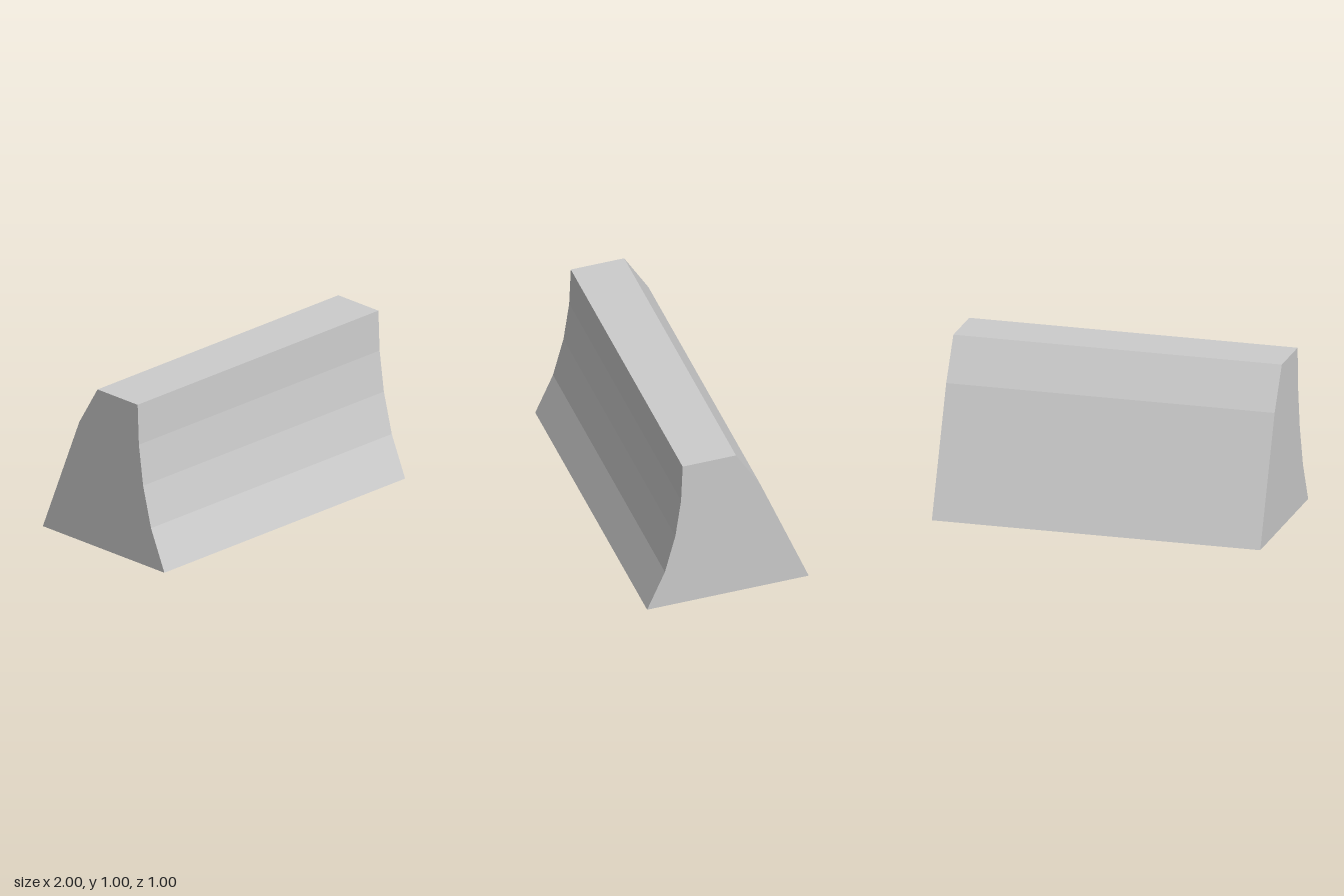
import * as THREE from 'three';

// Cross-section as [z, y], from the front foot over the top to the back foot
const PROFILE = [
  [0.5, 0], [0.39, 0.25], [0.325, 0.5], [0.29, 0.75], [0.28, 1],
  [-0.05, 1], [-0.2, 0.75], [-0.3, 0.5], [-0.4, 0.25], [-0.5, 0],
];
const HALF = 1;

// Flat strip running the full length between consecutive profile points
function panels(points) {
  const pos = [];
  for (let i = 0; i < points.length - 1; i++) {
    const [z0, y0] = points[i], [z1, y1] = points[i + 1];
    const a = [-HALF, y0, z0], b = [HALF, y0, z0];
    const c = [HALF, y1, z1], d = [-HALF, y1, z1];
    pos.push(...a, ...b, ...c, ...a, ...c, ...d);
  }
  const geo = new THREE.BufferGeometry();
  geo.setAttribute('position', new THREE.Float32BufferAttribute(pos, 3));
  geo.computeVertexNormals();
  return geo;
}

// End wall facing outward along the given side (+1 or -1)
function endWall(side) {
  const shape = new THREE.Shape(PROFILE.map(([z, y]) => new THREE.Vector2(-side * z, y)));
  return new THREE.ShapeGeometry(shape).rotateY(side * Math.PI / 2).translate(side * HALF, 0, 0);
}

export function createModel() {
  const group = new THREE.Group();
  group.name = 'barrier';
  const material = new THREE.MeshStandardMaterial({
    color: 0xcccccc, flatShading: true, side: THREE.DoubleSide,
  });
  const add = (name, geometry) => {
    const mesh = new THREE.Mesh(geometry, material);
    mesh.name = name;
    group.add(mesh);
  };

  // Hollow shell, open underneath
  add('frontSlope', panels(PROFILE.slice(0, 5)));
  add('topFace', panels(PROFILE.slice(4, 6)));
  add('backSlope', panels(PROFILE.slice(5)));
  add('leftEnd', endWall(1));
  add('rightEnd', endWall(-1));
  return group;
}
